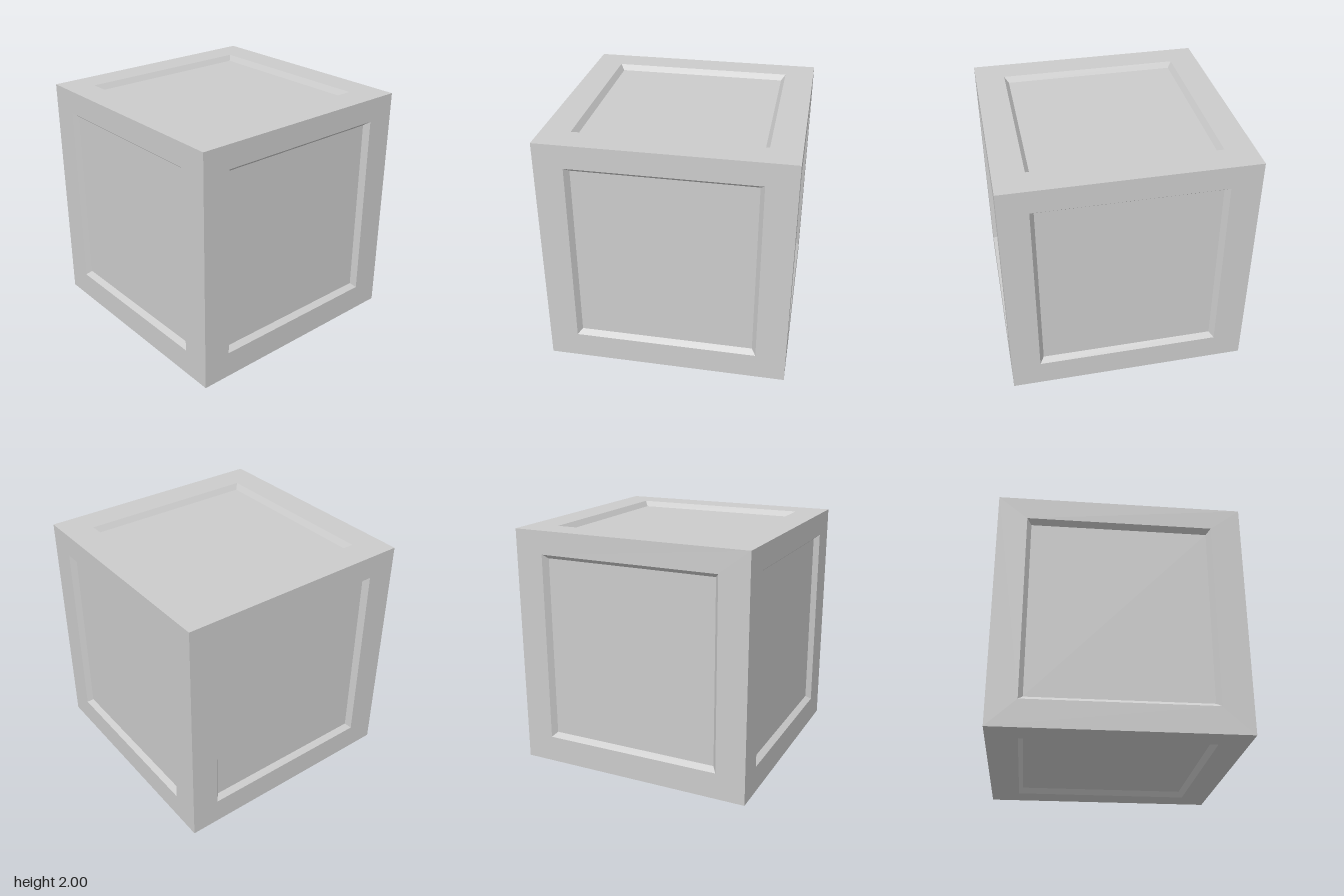
import * as THREE from 'three';

const INSET = 0.035; // sideways run of the sloped recess wall
const DEPTH = 0.045; // depth of the recess

// Corners of a rectangle, counter-clockwise seen from +z
const ring = (x0, x1, y0, y1, z) => [[x0, y0, z], [x1, y0, z], [x1, y1, z], [x0, y1, z]];

// One cube face at z = 1: flat border, sloped wall and sunken floor
function recessedFace(x0, x1, y0, y1) {
  const rings = [
    ring(-1, 1, -1, 1, 1),
    ring(x0, x1, y0, y1, 1),
    ring(x0 + INSET, x1 - INSET, y0 + INSET, y1 - INSET, 1 - DEPTH),
  ];
  const pos = [];
  const quad = (a, b, c, d) => pos.push(...a, ...b, ...c, ...a, ...c, ...d);
  for (let r = 0; r < 2; r++) {
    for (let i = 0; i < 4; i++) {
      const j = (i + 1) % 4;
      quad(rings[r][i], rings[r][j], rings[r + 1][j], rings[r + 1][i]);
    }
  }
  quad(...rings[2]);
  const geo = new THREE.BufferGeometry();
  geo.setAttribute('position', new THREE.Float32BufferAttribute(pos, 3));
  geo.computeVertexNormals();
  return geo;
}

export function createModel() {
  const model = new THREE.Group();
  model.name = 'panelledCube';
  const material = new THREE.MeshStandardMaterial({ color: 0xcccccc, flatShading: true });
  const cube = new THREE.Group();
  cube.name = 'cube';
  cube.position.y = 1;
  model.add(cube);

  const addFace = (name, geometry) => {
    const mesh = new THREE.Mesh(geometry, material);
    mesh.name = name;
    cube.add(mesh);
  };

  // Four upright faces, slightly taller recesses, turned about y
  ['frontFace', 'leftFace', 'backFace', 'rightFace'].forEach((name, i) => {
    addFace(name, recessedFace(-0.763, 0.753, -0.778, 0.808).rotateY(i * Math.PI / 2));
  });

  // Top face, and the bottom as the same face turned over about z
  const top = recessedFace(-0.763, 0.753, -0.765, 0.755).rotateX(-Math.PI / 2);
  addFace('topFace', top);
  addFace('bottomFace', top.clone().rotateZ(Math.PI));

  return model;
}
